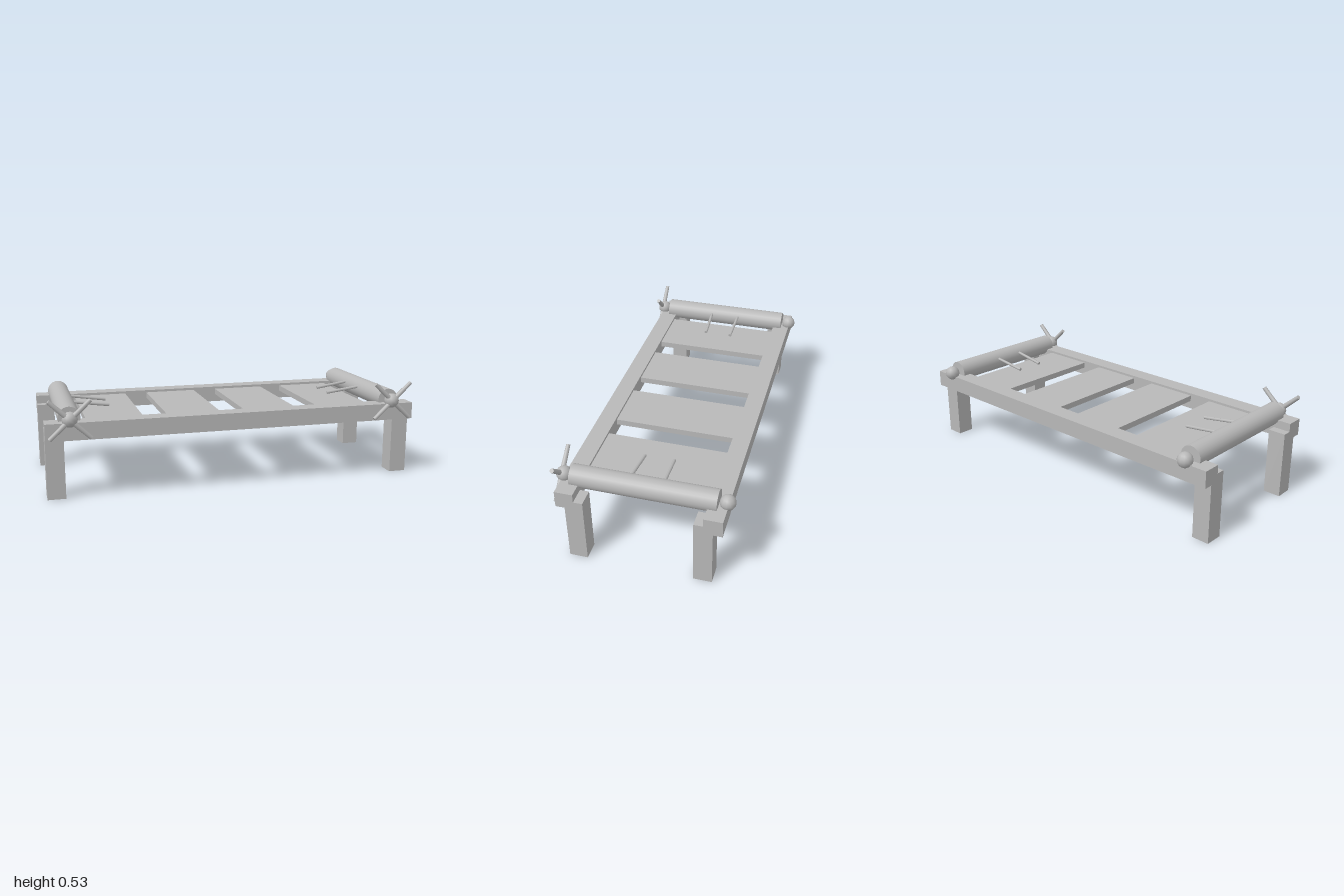
import * as THREE from 'three';

export function createModel() {
  const group = new THREE.Group();
  const grey = new THREE.MeshStandardMaterial({ color: 0xb8b8b8 });
  grey.name = 'grey';

  function add(name, geometry, x = 0, y = 0, z = 0) {
    const mesh = new THREE.Mesh(geometry, grey);
    mesh.name = name;
    mesh.position.set(x, y, z);
    group.add(mesh);
    return mesh;
  }
  // Box given by its low and high corners
  function box(name, x0, x1, y0, y1, z0, z1) {
    add(name, new THREE.BoxGeometry(x1 - x0, y1 - y0, z1 - z0),
      (x0 + x1) / 2, (y0 + y1) / 2, (z0 + z1) / 2);
  }
  // Round bar between two points
  function bar(name, a, b, radiusA, radiusB) {
    const from = new THREE.Vector3(...a), to = new THREE.Vector3(...b);
    const dir = to.clone().sub(from);
    const mesh = add(name, new THREE.CylinderGeometry(radiusB, radiusA, dir.length(), 8));
    mesh.position.copy(from).add(to).multiplyScalar(0.5);
    mesh.quaternion.setFromUnitVectors(new THREE.Vector3(0, 1, 0), dir.normalize());
  }

  // Long side rails
  box('frontRail', -1, 1, 0.315, 0.405, 0.321, 0.415);
  box('backRail', -1, 1, 0.315, 0.405, -0.415, -0.321);

  // Bed slats, set just below the rail tops
  for (const [x0, x1] of [[-0.785, -0.487], [-0.36, -0.07], [0.065, 0.355], [0.48, 0.778]]) {
    box('slat', x0, x1, 0.36, 0.392, -0.33, 0.33);
  }

  const rollerX = 0.875, rollerY = 0.422;
  for (const s of [-1, 1]) {
    // Legs
    for (const t of [-1, 1]) {
      const x = s * 0.953, z = t * 0.321;
      box('leg', x - 0.047, x + 0.047, 0, 0.36, z - 0.047, z + 0.047);
    }

    // Roller with a ball at each end
    const roller = add('roller', new THREE.CylinderGeometry(0.057, 0.057, 0.735, 24), s * rollerX, rollerY, 0);
    roller.rotation.x = Math.PI / 2;
    for (const t of [-1, 1]) {
      add('rollerBall', new THREE.SphereGeometry(0.04, 12, 8), s * rollerX, rollerY, t * 0.41);
    }

    // Crossed turning handles on the front ball
    for (const [dx, dy] of [[1, 1], [-1, 1], [1, -1], [-1, -1]]) {
      bar('handle', [s * rollerX, rollerY, 0.421],
        [s * rollerX + dx * 0.104, rollerY + dy * 0.097, 0.421], 0.014, 0.011);
    }

    // Pegs reaching inward from the roller
    for (const t of [-1, 1]) {
      bar('peg', [s * 0.86, 0.446, -0.004 + t * 0.085],
        [s * 0.635, 0.415, -0.004 + t * 0.077], 0.008, 0.009);
    }
  }
  return group;
}
